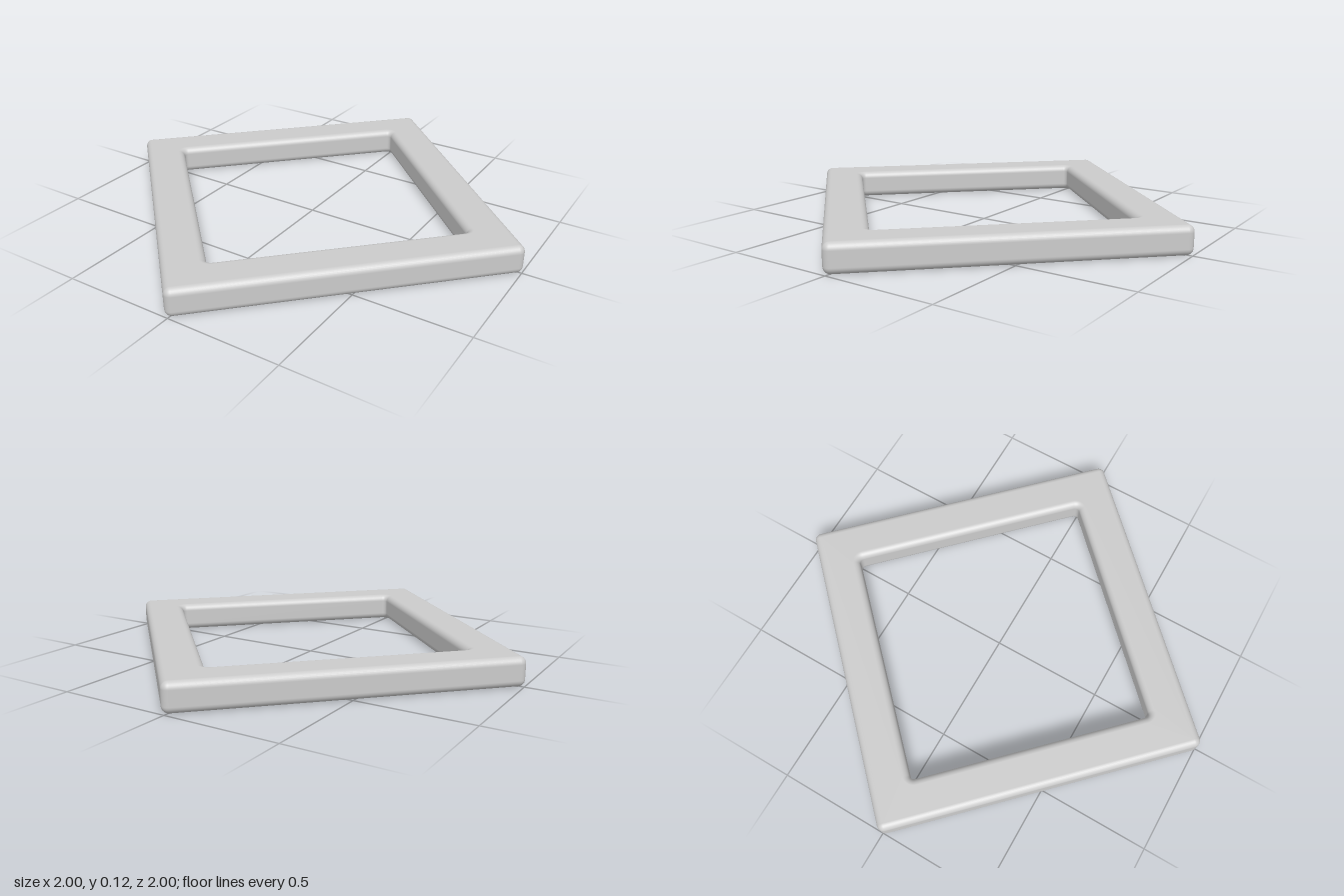
import * as THREE from 'three';

const HEIGHT = 0.125;  // thickness of the frame
const FILLET = 0.03;   // rounding of the long edges
const OUTER = { tip: 1, radius: 0.03 };
const INNER = { tip: 0.75, radius: 0.02 };
const STEPS = 8;       // segments per quarter round

// Closed cross-section: up the outer wall, across the top, down the inner wall
function crossSection() {
  const wall = [];
  for (const half of [0, 1]) {
    for (let i = 0; i <= STEPS; i++) {
      const t = (half - 1 + i / STEPS) * Math.PI / 2;
      const base = half ? HEIGHT - FILLET : FILLET;
      wall.push({ out: Math.cos(t), up: Math.sin(t), y: base + FILLET * Math.sin(t) });
    }
  }
  const outer = wall.map(p => ({
    centre: OUTER.tip - OUTER.radius,
    reach: OUTER.radius - FILLET * (1 - p.out),
    y: p.y, out: p.out, up: p.up,
  }));
  const inner = wall.map(p => ({
    centre: INNER.tip - INNER.radius,
    reach: INNER.radius + FILLET * (1 - p.out),
    y: p.y, out: -p.out, up: p.up,
  })).reverse();
  return [...outer, ...inner];
}

// Sweep the section around the four rounded corners of the diamond
function frameGeometry() {
  const section = crossSection();
  const positions = [], normals = [], index = [];
  for (let corner = 0; corner < 4; corner++) {
    const mid = corner * Math.PI / 2;
    for (let i = 0; i <= STEPS; i++) {
      const a = mid + (i / STEPS - 0.5) * Math.PI / 2;
      const dx = Math.cos(a), dz = Math.sin(a);
      for (const p of section) {
        positions.push(
          Math.cos(mid) * p.centre + dx * p.reach, p.y,
          Math.sin(mid) * p.centre + dz * p.reach);
        normals.push(dx * p.out, p.up, dz * p.out);
      }
    }
  }
  const n = section.length, rings = 4 * (STEPS + 1);
  for (let r = 0; r < rings; r++) {
    for (let j = 0; j < n; j++) {
      const k = (j + 1) % n, here = r * n, next = ((r + 1) % rings) * n;
      index.push(here + j, here + k, next + j, here + k, next + k, next + j);
    }
  }
  const geometry = new THREE.BufferGeometry();
  geometry.setAttribute('position', new THREE.Float32BufferAttribute(positions, 3));
  geometry.setAttribute('normal', new THREE.Float32BufferAttribute(normals, 3));
  geometry.setIndex(index);
  return geometry;
}

export function createModel() {
  const model = new THREE.Group();
  model.name = 'diamondFrame';
  const frame = new THREE.Mesh(frameGeometry(), new THREE.MeshStandardMaterial({ color: 0xcccccc }));
  frame.name = 'frame';
  model.add(frame);
  return model;
}
